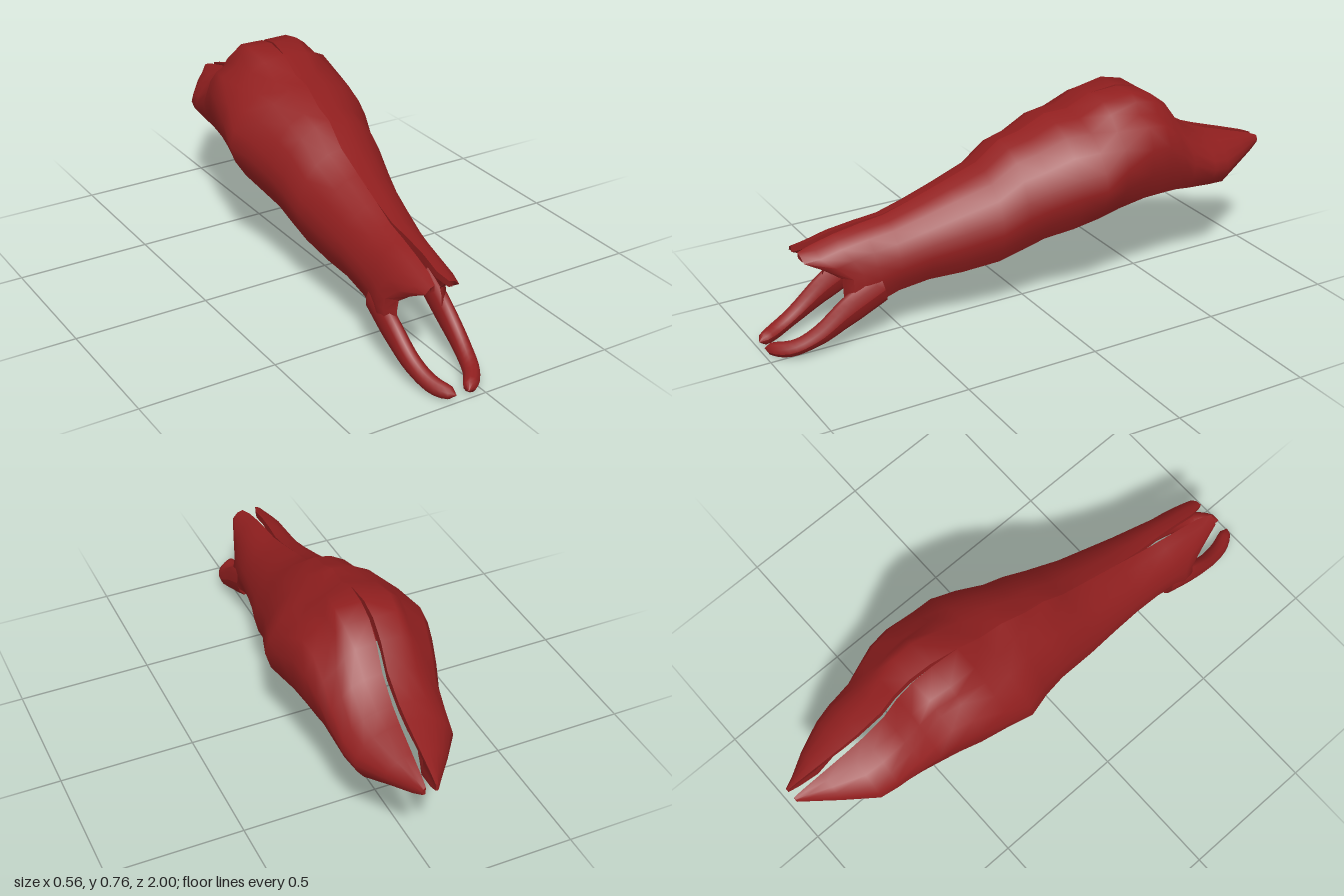
import * as THREE from 'three';
import { toCreasedNormals } from 'three/addons/utils/BufferGeometryUtils.js';

// Stations along the bone: z, right edge x, left edge x, top y, bottom y
const STATIONS = [
  [-1.0, 0.03, 0.09, 0.467, 0.44],
  [-0.96, 0.0, 0.11, 0.483, 0.42],
  [-0.88, -0.065, 0.16, 0.505, 0.4],
  [-0.77, -0.145, 0.215, 0.535, 0.36],
  [-0.7, -0.16, 0.23, 0.56, 0.367],
  [-0.6, -0.18, 0.235, 0.62, 0.375],
  [-0.54, -0.2, 0.245, 0.7, 0.385],
  [-0.47, -0.22, 0.26, 0.75, 0.39],
  [-0.39, -0.245, 0.268, 0.765, 0.39],
  [-0.28, -0.265, 0.272, 0.75, 0.373],
  [-0.19, -0.282, 0.28, 0.705, 0.355],
  [-0.1, -0.255, 0.25, 0.7, 0.325],
  [0.0, -0.235, 0.212, 0.65, 0.3],
  [0.08, -0.228, 0.195, 0.63, 0.27],
  [0.17, -0.218, 0.175, 0.56, 0.238],
  [0.3, -0.205, 0.135, 0.51, 0.215],
  [0.42, -0.198, 0.108, 0.465, 0.208],
  [0.53, -0.195, 0.085, 0.43, 0.185],
  [0.62, -0.198, 0.07, 0.418, 0.155],
  [0.72, -0.205, 0.055, 0.4, 0.13],
  [0.8, -0.2, 0.05, 0.378, 0.13],
  [0.855, -0.17, 0.02, 0.366, 0.14],
];

// Half section (outward, downward): rounded and shouldered outer walls
const ROUND = [[0, 0], [0.3, 0.03], [0.58, 0.12], [0.8, 0.27], [0.95, 0.46], [1, 0.63], [0.93, 0.82], [0.78, 1]];
const SHOULDERED = [[0, 0.01], [0.4, 0], [0.5, 0.06], [0.56, 0.16], [0.83, 0.21], [0.98, 0.42], [0.99, 0.7], [0.78, 1]];
// Inner walls: thin, and thick with a flange along the lower edge
const THIN = [[0.68, 0.96], [0.8, 0.8], [0.85, 0.63], [0.8, 0.48], [0.66, 0.32], [0.47, 0.2], [0.25, 0.13], [0, 0.1]];
const THICK = [[0.42, 0.96], [0.38, 0.84], [0.56, 0.7], [0.63, 0.56], [0.58, 0.42], [0.42, 0.28], [0.22, 0.2], [0, 0.16]];

const { lerp, smoothstep, mapLinear, clamp } = THREE.MathUtils;

// Slanted midline and the narrow slit along it
function midline(z) {
  if (z < -0.33) return mapLinear(z, -1, -0.33, 0.06, 0.005);
  if (z < 0) return mapLinear(z, -0.33, 0, 0.005, -0.025);
  return mapLinear(z, 0, 0.85, -0.025, -0.085);
}
function slit(z) {
  if (z < -0.33) return mapLinear(z, -1, -0.33, 0.017, 0.004);
  return 0.014 * smoothstep(z, 0.4, 0.8) + 0.014 * smoothstep(z, 0.8, 0.86);
}

// One side of the hollow shell, lofted through the stations
function shellHalf(side) {
  const pos = [], index = [];
  const m = ROUND.length, n = m + THIN.length;
  for (const [z, xr, xl, top, bottom] of STATIONS) {
    const seam = midline(z) + side * slit(z);
    const edge = side > 0 ? xl : xr;
    const shoulder = clamp(1 - Math.abs(z + 0.43) / 0.24, 0, 1);
    const flange = smoothstep(z, -0.15, 0.15) * (1 - smoothstep(z, 0.5, 0.7)) + 1 - smoothstep(z, -0.65, -0.35);
    const solid = 1 - smoothstep(z, -0.9, -0.68);
    const front = smoothstep(z, 0.5, 0.8);
    for (let j = 0; j < n; j++) {
      const [a, b, k] = j < m ? [ROUND[j], SHOULDERED[j], shoulder] : [THIN[j - m], THICK[j - m], flange];
      const v = lerp(a[1], b[1], k);
      let u = lerp(a[0], b[0], k);
      // The hollow fills up toward the rear tip
      if (j >= m) u *= 1 - 0.85 * solid;
      // Toward the prongs the lower wall stands out to the side
      u += (1 - u) * 0.6 * front * smoothstep(v, 0.4, 0.8);
      // The front edge is notched below the upper point
      const keep = lerp(1, 0.48, smoothstep(v, 0.08, 0.45));
      const zz = z > 0.6 ? 0.6 + (z - 0.6) * keep : z;
      pos.push(lerp(seam, edge, u), lerp(top, bottom, v), zz);
    }
  }
  const tri = (a, b, c) => (side > 0 ? index.push(a, b, c) : index.push(a, c, b));
  const last = STATIONS.length - 1;
  for (let i = 0; i < last; i++) {
    for (let j = 0; j < n; j++) {
      const k = (j + 1) % n, a = i * n, b = a + n;
      tri(a + j, b + j, a + k);
      tri(a + k, b + j, b + k);
    }
  }
  // Close the wall thickness at both ends
  for (let j = 0; j < m - 1; j++) {
    const f = last * n, p = n - 1 - j;
    tri(f + j, f + p, f + p - 1);
    tri(f + j, f + p - 1, f + j + 1);
    tri(j, p - 1, p);
    tri(j, j + 1, p - 1);
  }
  const geo = new THREE.BufferGeometry();
  geo.setAttribute('position', new THREE.Float32BufferAttribute(pos, 3));
  geo.setIndex(index);
  return toCreasedNormals(geo, 0.9);
}

// Curved prong: a tube that is tall at the root and rounded at the tip
function prong(points) {
  const curve = new THREE.CatmullRomCurve3(points.map((p) => new THREE.Vector3(...p)));
  const rings = 20, sides = 10;
  const geo = new THREE.TubeGeometry(curve, rings, 0.03, sides);
  const p = geo.attributes.position, v = new THREE.Vector3();
  for (let i = 0; i < p.count; i++) {
    const t = Math.floor(i / (sides + 1)) / rings;
    const c = curve.getPointAt(t);
    const tip = Math.sqrt(Math.max(0, 1 - Math.pow(t, 14)));
    const root = 1 + 1.1 * (1 - smoothstep(t, 0.2, 0.75));
    v.fromBufferAttribute(p, i).sub(c);
    v.set(v.x * tip, v.y * tip * root, v.z * tip).add(c);
    p.setXYZ(i, v.x, v.y, v.z);
  }
  geo.computeVertexNormals();
  return geo;
}

export function createModel() {
  const group = new THREE.Group();
  const bone = new THREE.MeshStandardMaterial({ color: 0x911f1f, side: THREE.DoubleSide });
  bone.name = 'dark red';
  const add = (name, geo) => {
    const mesh = new THREE.Mesh(geo, bone);
    mesh.name = name;
    group.add(mesh);
  };

  add('leftShell', shellHalf(1));
  add('rightShell', shellHalf(-1));
  add('leftProng', prong([
    [0.047, 0.215, 0.59], [0.036, 0.145, 0.72], [0.027, 0.076, 0.83], [0, 0.038, 0.92], [-0.066, 0.029, 0.995],
  ]));
  add('rightProng', prong([
    [-0.17, 0.215, 0.59], [-0.176, 0.145, 0.72], [-0.17, 0.076, 0.83], [-0.15, 0.038, 0.92], [-0.113, 0.029, 0.995],
  ]));
  return group;
}
